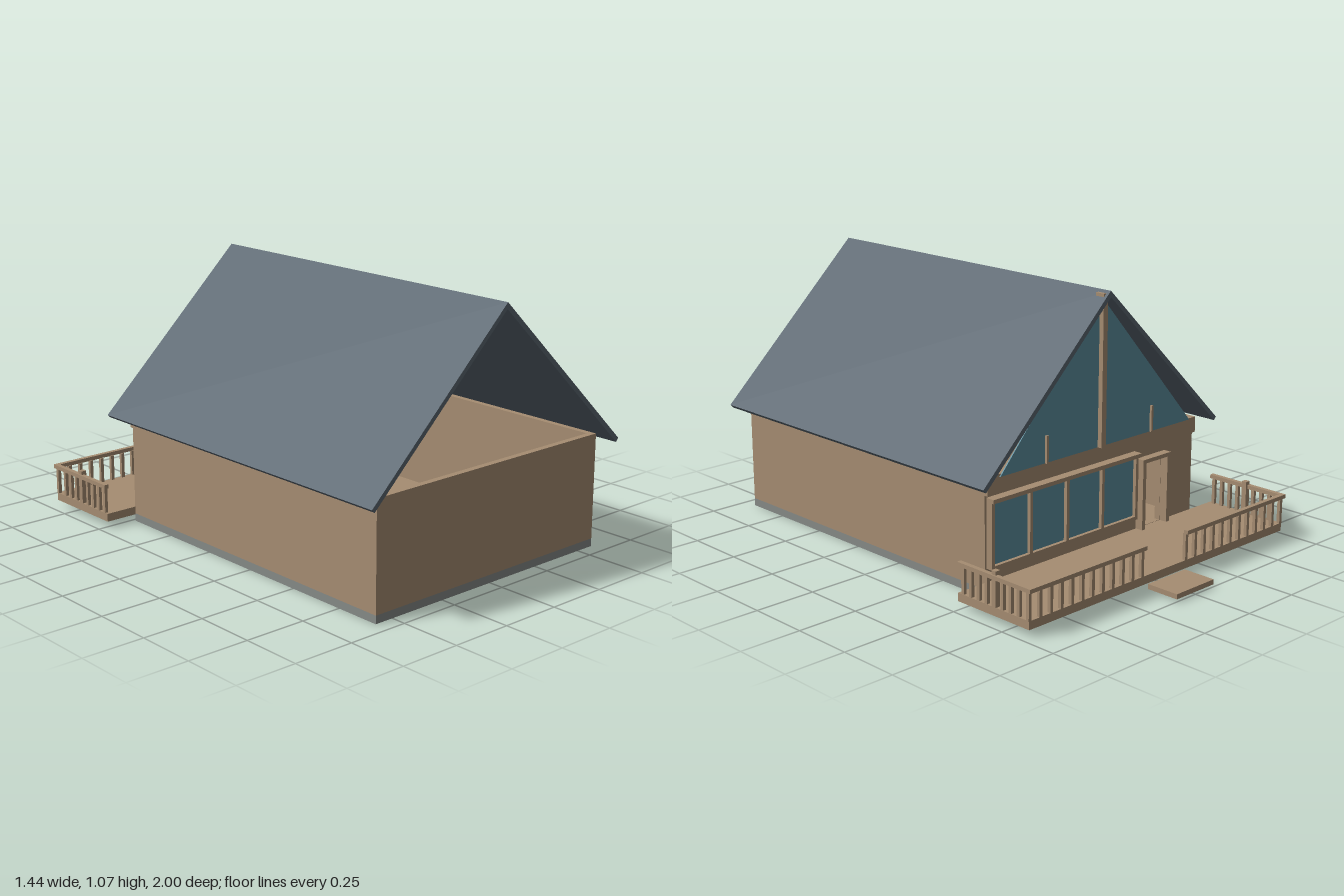
import * as THREE from 'three';

const mat = (name, color, side = THREE.FrontSide) => {
  const m = new THREE.MeshStandardMaterial({ color, side });
  m.name = name;
  return m;
};

export function createModel() {
  const wood = mat('wood', 0xa68d72);
  const slate = mat('slate roof', 0x5a6670);
  const glass = mat('glass', 0x5d8f9f, THREE.DoubleSide);
  const stone = mat('stone', 0x868a87);

  const model = new THREE.Group();
  model.name = 'cabin';
  const add = (parent, name, geometry, material) => {
    const mesh = new THREE.Mesh(geometry, material);
    mesh.name = name;
    parent.add(mesh);
    return mesh;
  };
  // box given by its limits on each axis
  const box = (parent, name, material, [x0, x1], [y0, y1], [z0, z1]) => {
    const g = new THREE.BoxGeometry(x1 - x0, y1 - y0, z1 - z0);
    g.translate((x0 + x1) / 2, (y0 + y1) / 2, (z0 + z1) / 2);
    return add(parent, name, g, material);
  };
  const group = (name) => {
    const g = new THREE.Group();
    g.name = name;
    model.add(g);
    return g;
  };
  const outline = (points) => points.map(([x, y]) => new THREE.Vector2(x, y));
  const extrude = (shape, z0, z1) => {
    const g = new THREE.ExtrudeGeometry(shape, { depth: z1 - z0, bevelEnabled: false });
    return g.translate(0, 0, z0);
  };
  const rect = (x0, x1, y0, y1) => outline([[x0, y0], [x1, y0], [x1, y1], [x0, y1]]);

  // foundation and floor
  box(model, 'foundation', stone, [-0.58, 0.58], [0, 0.032], [-0.485, 0.94]);
  box(model, 'floor', wood, [-0.56, 0.56], [0.032, 0.037], [-0.465, 0.92]);

  // walls, with window and door openings at the back
  const walls = group('walls');
  box(walls, 'frontWall', wood, [-0.58, 0.58], [0.032, 0.46], [0.915, 0.94]);
  for (const s of [-1, 1]) {
    const xs = [s * 0.555, s * 0.58].sort((a, b) => a - b);
    box(walls, 'sideWall', wood, xs, [0.032, 0.46], [-0.46, 0.915]);
  }
  const back = new THREE.Shape(rect(-0.58, 0.58, 0.032, 0.46));
  back.holes.push(new THREE.Path(rect(-0.21, 0.555, 0.125, 0.37)));
  back.holes.push(new THREE.Path(rect(-0.39, -0.265, 0.06, 0.34)));
  add(walls, 'backWall', extrude(back, -0.485, -0.46), wood);
  box(walls, 'backBeam', wood, [-0.58, 0.58], [0.395, 0.46], [-0.5, -0.485]);
  box(walls, 'windowLintel', wood, [-0.24, 0.58], [0.44, 0.47], [-0.505, -0.465]);

  // row of four windows
  const windows = group('windows');
  box(windows, 'windowGlass', glass, [-0.21, 0.56], [0.12, 0.375], [-0.5, -0.492]);
  for (let i = 0; i <= 4; i++) {
    const x = -0.215 + i * 0.195;
    box(windows, 'mullion', wood, [x - 0.007, x + 0.007], [0.115, 0.375], [-0.515, -0.485]);
  }
  box(windows, 'windowHead', wood, [-0.23, 0.572], [0.37, 0.386], [-0.524, -0.485]);
  box(windows, 'windowSill', wood, [-0.222, 0.572], [0.112, 0.126], [-0.515, -0.485]);

  // door frame
  const door = group('doorFrame');
  for (const x of [-0.4, -0.255]) {
    box(door, 'doorJamb', wood, [x - 0.009, x + 0.009], [0.06, 0.35], [-0.52, -0.46]);
  }
  box(door, 'doorHead', wood, [-0.41, -0.245], [0.336, 0.352], [-0.52, -0.46]);

  // glazed gable with posts
  const gable = group('gable');
  const triangle = new THREE.Shape(outline([[-0.53, 0.46], [0.525, 0.46], [0, 1.045]]));
  add(gable, 'gableGlass', extrude(triangle, -0.51, -0.505), glass);
  box(gable, 'centrePost', wood, [-0.013, 0.011], [0.46, 1.06], [-0.53, -0.49]);
  for (const s of [-1, 1]) {
    const x = s * 0.292;
    box(gable, 'shortPost', wood, [x - 0.005, x + 0.005], [0.46, 0.567], [-0.52, -0.495]);
  }

  // two roof panels meeting at the ridge
  const roof = group('roof');
  const panels = {
    rightPanel: [[-0.66, 0.452], [-0.647, 0.44], [-0.002, 1.057], [-0.013, 1.07]],
    leftPanel: [[-0.013, 1.07], [-0.026, 1.056], [0.628, 0.43], [0.641, 0.444]],
  };
  for (const [name, points] of Object.entries(panels)) {
    add(roof, name, extrude(new THREE.Shape(outline(points)), -0.543, 1), slate);
  }

  // deck and step
  const deck = group('deck');
  box(deck, 'deckFloor', wood, [-0.715, 0.715], [0.027, 0.06], [-0.85, -0.487]);
  box(deck, 'step', wood, [-0.105, 0.105], [0.01, 0.03], [-1, -0.86]);

  // railings, the same on both sides
  const rail = [0.166, 0.182];
  for (const s of [-1, 1]) {
    const railing = group(s > 0 ? 'leftRailing' : 'rightRailing');
    const span = (a, b) => (s > 0 ? [a, b] : [-b, -a]);
    box(railing, 'backRail', wood, span(0.115, 0.722), rail, [-0.861, -0.842]);
    box(railing, 'sideRail', wood, span(0.703, 0.722), rail, [-0.842, -0.49]);
    box(railing, 'railPost', wood, span(0.694, 0.716), [0.06, 0.197], [-0.684, -0.662]);
    for (let i = 0; i < 12; i++) {
      const x = 0.125 + i * 0.0532;
      box(railing, 'baluster', wood, span(x - 0.007, x + 0.007), [0.058, 0.167], [-0.85, -0.836]);
    }
    for (let i = 0; i < 8; i++) {
      const z = -0.51 - i * 0.0405;
      box(railing, 'baluster', wood, span(0.701, 0.714), [0.058, 0.167], [z - 0.007, z + 0.007]);
    }
  }
  return model;
}
